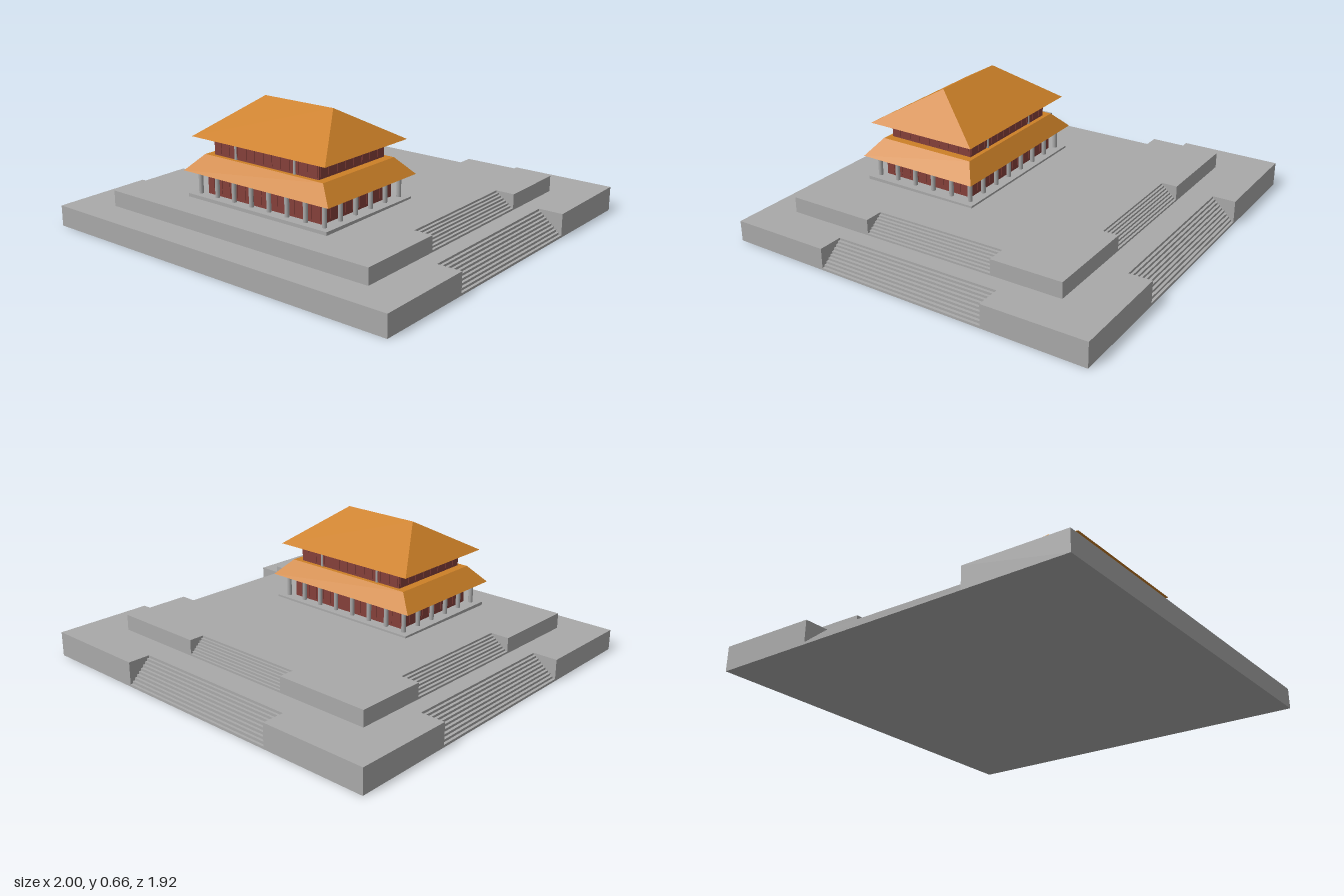
import * as THREE from 'three';
import { mergeGeometries } from 'three/addons/utils/BufferGeometryUtils.js';

const stone = new THREE.MeshStandardMaterial({ name: 'grey stone', color: 0xa9a9a9 });
const tile = new THREE.MeshStandardMaterial({ name: 'orange roof tile', color: 0xcc8027 });
const redWall = new THREE.MeshStandardMaterial({ name: 'dark red wall', color: 0x85403a });

const HALL_Z = 0.32;
const FLOOR = 0.205;

// terrace tops rise gently towards the back
const ground = () => 0;
const lowerTop = (z) => 0.115 - 0.0104 * z;
const upperTop = (z) => 0.195 - 0.011 * z;

// maps a geometry of unit height between two sloping levels
function fitHeight(geometry, bottom, top) {
  const p = geometry.attributes.position;
  for (let i = 0; i < p.count; i++) {
    const z = p.getZ(i);
    p.setY(i, bottom(z) + p.getY(i) * (top(z) - bottom(z)));
  }
  const flat = geometry.index ? geometry.toNonIndexed() : geometry;
  flat.computeVertexNormals();
  return flat;
}

function add(parent, name, geometry, material, x = 0, y = 0, z = 0) {
  const mesh = new THREE.Mesh(geometry, material);
  mesh.name = name;
  mesh.position.set(x, y, z);
  parent.add(mesh);
  return mesh;
}

// one flight facing +x, turned to its side of the terrace
function stairs(outer, inner, width, angle, steps, bottom, top) {
  const parts = [];
  const run = (outer - inner) / steps;
  for (let i = 0; i < steps; i++) {
    const length = outer - inner - i * run;
    parts.push(new THREE.BoxGeometry(length, 1 / steps, width)
      .translate(inner + length / 2, (i + 0.5) / steps, 0));
  }
  return fitHeight(mergeGeometries(parts).rotateY(angle), bottom, top);
}

// terrace block notched for flights on the two sides and the back
function terrace(parent, name, t) {
  const { x, front, back, side, rear, bottom, top } = t;
  const outline = [
    [-x, -front], [x, -front],
    [x, -side.half], [side.inner, -side.half], [side.inner, side.half], [x, side.half],
    [x, back], [rear.half, back], [rear.half, rear.inner],
    [-rear.half, rear.inner], [-rear.half, back], [-x, back],
    [-x, side.half], [-side.inner, side.half], [-side.inner, -side.half], [-x, -side.half],
  ].map(([a, b]) => new THREE.Vector2(a, b));
  const block = new THREE.ExtrudeGeometry(new THREE.Shape(outline), { depth: 1, bevelEnabled: false })
    .rotateX(-Math.PI / 2);
  add(parent, name, fitHeight(block, bottom, top), stone);
  for (const [label, angle] of [['Left', 0], ['Right', Math.PI]]) {
    add(parent, name + 'Stairs' + label,
      stairs(x, side.inner, side.half * 2, angle, t.steps, bottom, top), stone);
  }
  add(parent, name + 'StairsBack',
    stairs(back, rear.inner, rear.half * 2, Math.PI / 2, t.steps, bottom, top), stone);
}

// hipped roof: a box whose top is drawn in; a zero top depth makes a ridge
function hipRoof(w0, d0, w1, d1, height) {
  const g = new THREE.BoxGeometry(1, 1, 1).toNonIndexed();
  const p = g.attributes.position;
  for (let i = 0; i < p.count; i++) {
    const up = p.getY(i) > 0;
    p.setXYZ(i, p.getX(i) * (up ? w1 : w0), up ? height : 0, p.getZ(i) * (up ? d1 : d0));
  }
  g.computeVertexNormals();
  return g;
}

// walls with shallow door panels in every bay
function storey(parent, name, w, d, y, height, baysX, baysZ) {
  add(parent, name + 'Walls', new THREE.BoxGeometry(w, height, d), redWall, 0, y + height / 2, 0);
  const panels = (count, length, offset, alongX) => {
    const bay = length / count;
    for (let i = 0; i < count * 2; i++) {
      const at = -length / 2 + (i + 0.5) * bay / 2;
      for (const s of [-1, 1]) {
        const size = alongX ? [bay * 0.36, height * 0.7, 0.006] : [0.006, height * 0.7, bay * 0.36];
        const pos = alongX ? [at, s * offset] : [s * offset, at];
        add(parent, name + 'Panel', new THREE.BoxGeometry(...size), redWall,
          pos[0], y + height * 0.5, pos[1]);
      }
    }
  };
  panels(baysX, w, d / 2, true);
  panels(baysZ, d, w / 2, false);
}

export function createModel() {
  const model = new THREE.Group();
  model.name = 'palaceHall';

  // two stone terraces
  terrace(model, 'lowerTerrace', {
    x: 1, front: 0.96, back: 0.96, steps: 10, bottom: ground, top: lowerTop,
    side: { half: 0.44, inner: 0.86 }, rear: { half: 0.45, inner: 0.83 },
  });
  terrace(model, 'upperTerrace', {
    x: 0.785, front: 0.8, back: 0.71, steps: 8, bottom: lowerTop, top: upperTop,
    side: { half: 0.345, inner: 0.675 }, rear: { half: 0.3, inner: 0.62 },
  });

  const hall = new THREE.Group();
  hall.name = 'hall';
  hall.position.z = HALL_Z;
  model.add(hall);

  // plinth and storeys
  add(hall, 'plinth', new THREE.BoxGeometry(0.86, 0.025, 0.63), stone, 0, FLOOR - 0.0125, 0);
  storey(hall, 'lowerStorey', 0.71, 0.51, FLOOR - 0.005, 0.125, 7, 5);
  storey(hall, 'upperStorey', 0.645, 0.475, 0.395, 0.1, 6, 4);

  // colonnade around the lower storey
  const column = new THREE.CylinderGeometry(0.0115, 0.0115, 0.12, 12);
  for (let i = 0; i < 8; i++) {
    for (let j = 0; j < 6; j++) {
      if (i % 7 && j % 5) continue;
      add(hall, 'column', column, stone, (i - 3.5) * 0.11, FLOOR + 0.058, (j - 2.5) * 0.11);
    }
  }

  // slim posts set into the upper walls
  const post = new THREE.CylinderGeometry(0.008, 0.008, 0.09, 10);
  for (const x of [-0.182, 0.182]) {
    for (const z of [-0.2375, 0.2375]) add(hall, 'upperPost', post, stone, x, 0.445, z);
  }

  // skirt roof and main hipped roof
  add(hall, 'lowerRoof', hipRoof(0.895, 0.65, 0.73, 0.52, 0.082), tile, 0, 0.318, 0);
  add(hall, 'upperRoof', hipRoof(0.82, 0.6, 0.42, 0, 0.175), tile, 0, 0.488, 0);

  return model;
}
